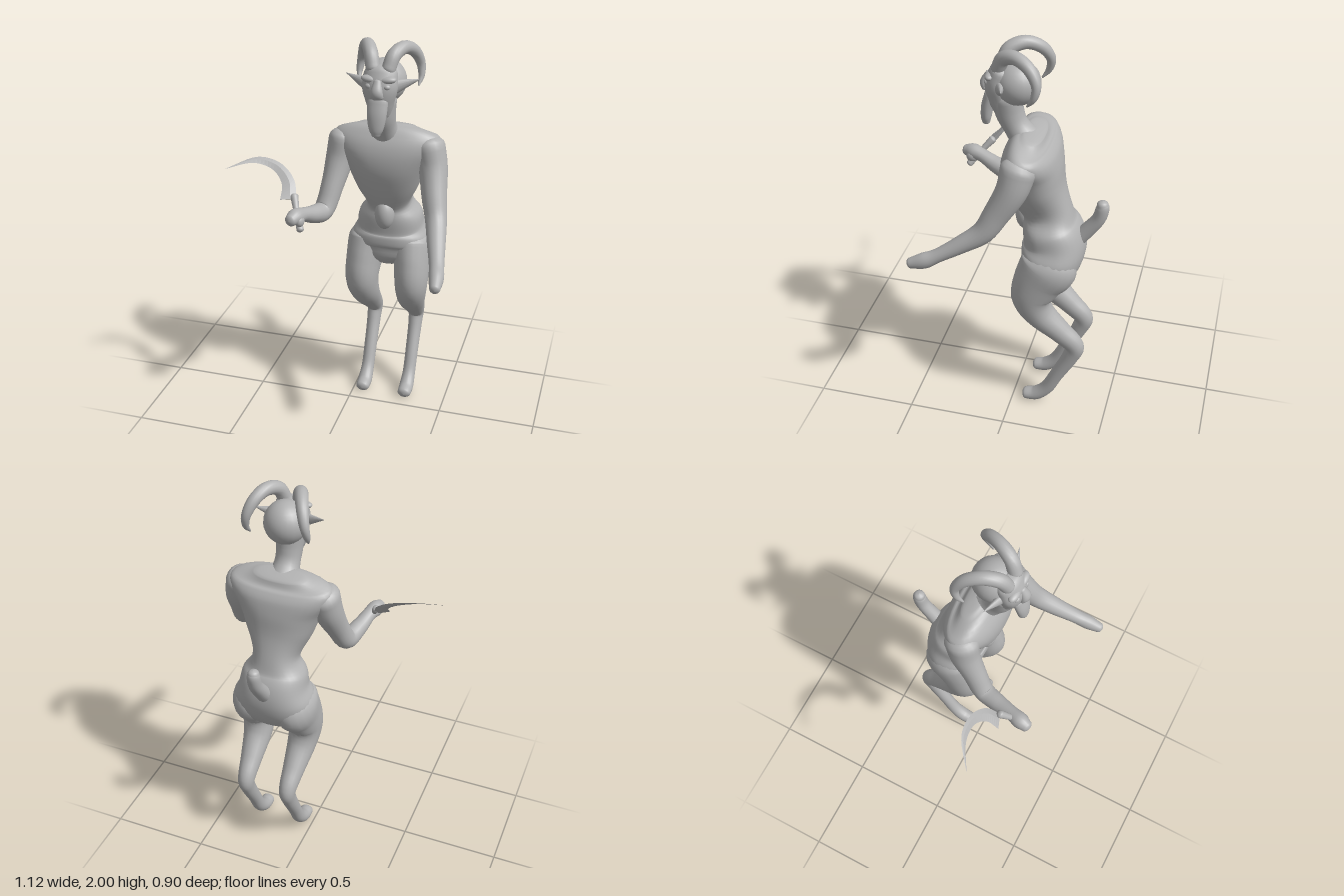
import * as THREE from 'three';

const CX = 0.172; // the body's middle line
const grey = new THREE.MeshStandardMaterial({ color: 0xb2b2b2 });
grey.name = 'stone grey';

// Rounded limb through points [x, y, z, side radius, depth radius], with domed ends;
// a square value below 1 makes the cross-section boxier
function limb(points, { steps = 5, sides = 20, cap = 0.7, square = 1 } = {}) {
  const path = new THREE.CatmullRomCurve3(points.map(p => new THREE.Vector3(p[0], p[1], p[2])), false, 'catmullrom');
  const size = new THREE.CatmullRomCurve3(points.map(p => new THREE.Vector3(p[3], p[4] ?? p[3], 0)), false, 'catmullrom');
  const bulge = w => Math.sign(w) * Math.abs(w) ** square;
  const n = (points.length - 1) * steps;
  const rings = [];
  for (let i = 0; i <= n; i++) rings.push([i / n, 0, 1]);
  const dome = [0.35, 0.65, 0.88, 1].map(s => [s, Math.max(Math.sqrt(1 - s * s), 0.01)]);
  dome.forEach(([s, k]) => {
    rings.unshift([0, -s, k]);
    rings.push([1, s, k]);
  });
  const pos = [], index = [];
  rings.forEach(([t, out, k], i) => {
    const tan = path.getTangent(t), r = size.getPoint(t);
    const u = new THREE.Vector3(1, 0, 0).addScaledVector(tan, -tan.x).normalize();
    const v = tan.clone().cross(u);
    const c = path.getPoint(t).addScaledVector(tan, out * cap * Math.min(r.x, r.y));
    for (let j = 0; j < sides; j++) {
      const a = j / sides * Math.PI * 2;
      const p = c.clone().addScaledVector(u, bulge(Math.cos(a)) * r.x * k).addScaledVector(v, bulge(Math.sin(a)) * r.y * k);
      pos.push(p.x, p.y, p.z);
      if (i < rings.length - 1) {
        const A = i * sides + j, B = i * sides + (j + 1) % sides;
        index.push(A, B, A + sides, B, B + sides, A + sides);
      }
    }
  });
  const g = new THREE.BufferGeometry();
  g.setAttribute('position', new THREE.Float32BufferAttribute(pos, 3));
  g.setIndex(index);
  g.computeVertexNormals();
  return g;
}

// Curved blade between an outer and an inner edge, thickened in the middle
function bladeGeometry(outer, inner, thick) {
  const curve = pts => new THREE.CatmullRomCurve3(pts.map(p => new THREE.Vector3(...p)));
  const o = curve(outer), inn = curve(inner), n = 24, pos = [], index = [];
  for (let i = 0; i <= n; i++) {
    const a = o.getPoint(i / n), b = inn.getPoint(i / n);
    const normal = o.getTangent(i / n).cross(b.clone().sub(a)).normalize();
    const m = a.clone().lerp(b, 0.4), h = thick * (1 - i / n);
    const front = m.clone().addScaledVector(normal, h), back = m.clone().addScaledVector(normal, -h);
    [a, front, b, back].forEach(p => pos.push(p.x, p.y, p.z));
    if (i < n) for (let j = 0; j < 4; j++) {
      const A = i * 4 + j, B = i * 4 + (j + 1) % 4;
      index.push(A, A + 4, B, B, A + 4, B + 4);
    }
  }
  index.push(0, 1, 2, 0, 2, 3);
  const g = new THREE.BufferGeometry();
  g.setAttribute('position', new THREE.Float32BufferAttribute(pos, 3));
  g.setIndex(index);
  const flat = g.toNonIndexed();
  flat.computeVertexNormals();
  return flat;
}

export function createModel() {
  const model = new THREE.Group();
  const add = (name, geometry) => {
    const mesh = new THREE.Mesh(geometry, grey);
    mesh.name = name;
    model.add(mesh);
    return mesh;
  };
  const ball = (name, x, y, z, rx, ry, rz) => {
    const mesh = add(name, new THREE.SphereGeometry(1, 24, 16));
    mesh.position.set(x, y, z);
    mesh.scale.set(rx, ry, rz);
    return mesh;
  };

  // Torso, from the collar down to the pelvis
  add('torso', limb([
    [CX, 1.565, -0.085, 0.14, 0.055], [CX, 1.53, -0.075, 0.25, 0.095], [CX, 1.47, -0.073, 0.255, 0.128],
    [CX, 1.38, -0.08, 0.205, 0.14], [CX, 1.27, -0.105, 0.163, 0.13], [CX, 1.15, -0.15, 0.112, 0.118],
    [CX, 1.07, -0.165, 0.158, 0.132], [CX, 1.0, -0.185, 0.172, 0.15], [CX, 0.94, -0.187, 0.2, 0.155],
    [CX, 0.88, -0.18, 0.2, 0.145], [CX, 0.825, -0.16, 0.15, 0.115], [CX, 0.79, -0.15, 0.06, 0.07]],
    { sides: 32, cap: 0.25, square: 0.85 }));
  ball('belly', CX, 1.1, -0.045, 0.05, 0.08, 0.053);

  // Neck, skull and face
  add('neck', limb([
    [CX, 1.5, -0.06, 0.085, 0.08], [CX, 1.58, 0.0, 0.063, 0.062],
    [CX, 1.65, 0.033, 0.064, 0.068], [CX, 1.73, 0.045, 0.072, 0.07]]));
  ball('skull', CX, 1.808, -0.005, 0.105, 0.106, 0.107);
  add('face', limb([
    [CX, 1.865, 0.065, 0.08, 0.055], [CX, 1.8, 0.083, 0.085, 0.063],
    [CX, 1.73, 0.075, 0.068, 0.062], [CX, 1.675, 0.063, 0.055, 0.05]]));
  add('nose', limb([[CX, 1.84, 0.13, 0.018, 0.014], [CX, 1.795, 0.147, 0.029, 0.024], [CX, 1.77, 0.143, 0.032, 0.02]]));
  add('beard', limb([
    [CX, 1.745, 0.12, 0.05, 0.028], [CX, 1.68, 0.138, 0.047, 0.028],
    [CX, 1.62, 0.146, 0.036, 0.025], [CX, 1.59, 0.147, 0.022, 0.019]]));

  // Paired parts, mirrored about the middle line
  for (const s of [-1, 1]) {
    const side = s < 0 ? 'right' : 'left';
    const x = d => CX + s * d;
    const paired = rows => rows.map(([d, ...rest]) => [x(d), ...rest]);

    add(side + 'Leg', limb(paired([
      [0.1, 0.96, -0.205, 0.08, 0.1], [0.113, 0.89, -0.185, 0.106, 0.143], [0.127, 0.8, -0.135, 0.093, 0.123],
      [0.132, 0.7, -0.105, 0.085, 0.103], [0.125, 0.6, -0.145, 0.075, 0.077], [0.12, 0.5, -0.245, 0.057, 0.058],
      [0.117, 0.417, -0.324, 0.044, 0.05], [0.117, 0.34, -0.307, 0.037, 0.043], [0.117, 0.2, -0.237, 0.034, 0.036],
      [0.117, 0.1, -0.187, 0.034, 0.036], [0.117, 0.045, -0.13, 0.038, 0.036], [0.117, 0.033, -0.075, 0.036, 0.03]])));

    // Brow and eye
    ball(side + 'Brow', x(0.042), 1.845, 0.112, 0.042, 0.018, 0.024).rotation.z = s * 0.1;
    ball(side + 'Eye', x(0.042), 1.815, 0.125, 0.018, 0.014, 0.015);

    // Pointed ear, swept out and back
    const ear = add(side + 'Ear', new THREE.ConeGeometry(0.036, 0.13, 14));
    ear.position.set(x(0.122), 1.82, 0.045);
    ear.rotation.set(0, s * 0.3, -s * 1.28);
    ear.scale.z = 0.65;

    // Horn curling back and down
    add(side + 'Horn', limb(paired([
      [0.037, 1.885, 0.075, 0.034], [0.055, 1.945, 0.045, 0.034], [0.087, 1.967, -0.02, 0.032],
      [0.119, 1.937, -0.087, 0.029], [0.143, 1.875, -0.124, 0.023], [0.152, 1.815, -0.115, 0.016],
      [0.146, 1.772, -0.085, 0.005]]), { steps: 6, sides: 16 }));
  }

  // Left arm hangs forward and down
  add('leftArm', limb([
    [0.387, 1.478, -0.06, 0.075, 0.085], [0.412, 1.38, -0.035, 0.071, 0.075], [0.435, 1.26, 0.03, 0.062, 0.063],
    [0.46, 1.165, 0.09, 0.053, 0.054], [0.485, 1.095, 0.19, 0.045, 0.043], [0.512, 1.03, 0.3, 0.036, 0.034],
    [0.525, 0.998, 0.365, 0.036, 0.04], [0.533, 0.978, 0.43, 0.026, 0.027]]));

  // Right arm bends at the elbow to hold the sickle
  add('rightArm', limb([
    [-0.043, 1.478, -0.06, 0.075, 0.085], [-0.058, 1.38, -0.035, 0.069, 0.075], [-0.078, 1.26, 0.025, 0.056, 0.061],
    [-0.103, 1.15, 0.09, 0.05, 0.053], [-0.13, 1.16, 0.18, 0.044, 0.044], [-0.155, 1.192, 0.265, 0.036, 0.034],
    [-0.172, 1.202, 0.32, 0.04, 0.04], [-0.182, 1.2, 0.36, 0.03, 0.03]]));
  ball('rightThumb', -0.15, 1.185, 0.325, 0.022, 0.03, 0.03);

  // Sickle
  add('sickleHandle', limb(
    [[-0.145, 1.145, 0.335, 0.018], [-0.18, 1.21, 0.28, 0.015], [-0.207, 1.265, 0.23, 0.02]], { sides: 12 }));
  add('sickleBlade', bladeGeometry(
    [[-0.2, 1.25, 0.22], [-0.23, 1.325, 0.165], [-0.31, 1.388, 0.13], [-0.42, 1.412, 0.14], [-0.56, 1.37, 0.24]],
    [[-0.272, 1.25, 0.255], [-0.28, 1.305, 0.2], [-0.335, 1.36, 0.163], [-0.43, 1.39, 0.17], [-0.56, 1.37, 0.24]],
    0.006));

  // Short upturned tail
  add('tail', limb([
    [CX, 1.0, -0.3, 0.042], [CX, 1.06, -0.35, 0.037], [CX, 1.13, -0.4, 0.034],
    [CX, 1.19, -0.417, 0.033], [CX, 1.215, -0.417, 0.028]]));

  return model;
}
